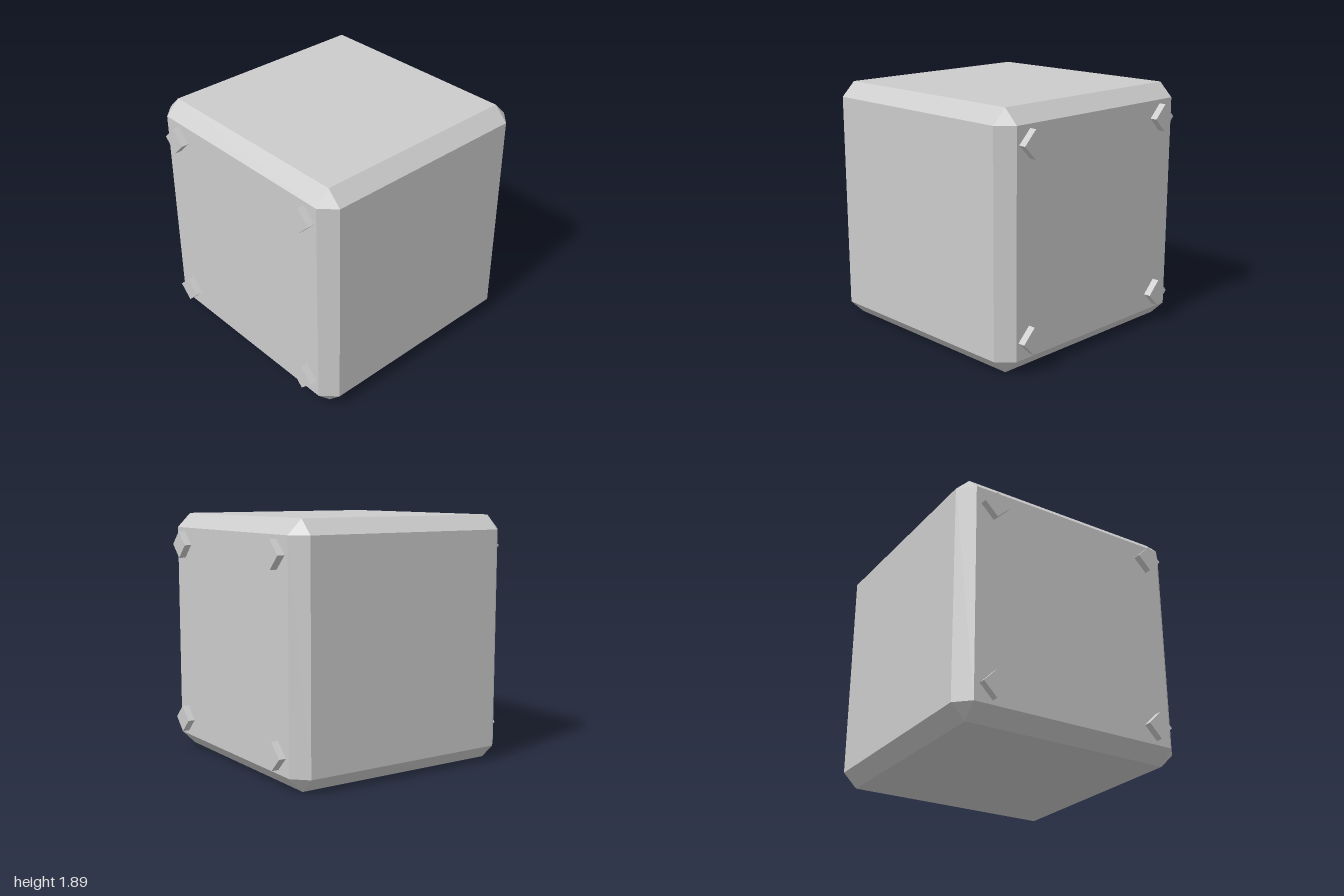
import * as THREE from 'three';
import { ConvexGeometry } from 'three/addons/geometries/ConvexGeometry.js';

const HALF = 0.945;     // half the size of the cube
const BEVEL = 0.11;     // width of the chamfer along each edge
const PEG_RADIUS = 0.104;
const PEG_END = 1;      // how far the pegs reach in z
const PEG_DEPTH = 0.1;  // includes the part sunk into the body

// Cube with flat chamfered edges and triangular corners
function chamferedCube(half, bevel) {
  const inner = half - bevel;
  const points = [];
  for (const x of [-1, 1]) for (const y of [-1, 1]) for (const z of [-1, 1]) {
    points.push(
      new THREE.Vector3(x * half, y * inner, z * inner),
      new THREE.Vector3(x * inner, y * half, z * inner),
      new THREE.Vector3(x * inner, y * inner, z * half),
    );
  }
  return new ConvexGeometry(points);
}

export function createModel() {
  const group = new THREE.Group();
  const material = new THREE.MeshStandardMaterial({ color: 0xcccccc, flatShading: true });

  const body = new THREE.Mesh(chamferedCube(HALF, BEVEL), material);
  body.name = 'body';
  body.position.y = HALF;
  group.add(body);

  // Diamond pegs near the corners of the front and back faces
  const pegGeometry = new THREE.CylinderGeometry(PEG_RADIUS, PEG_RADIUS, PEG_DEPTH, 4);
  pegGeometry.rotateX(Math.PI / 2);
  for (const [face, side] of [['front', 1], ['back', -1]]) {
    for (const x of [-0.69, 0.71]) {
      for (const y of [0.245, 1.646]) {
        const peg = new THREE.Mesh(pegGeometry, material);
        peg.name = `${face}${y > HALF ? 'Upper' : 'Lower'}${x > 0 ? 'Left' : 'Right'}Peg`;
        peg.position.set(x, y, side * (PEG_END - PEG_DEPTH / 2));
        group.add(peg);
      }
    }
  }
  return group;
}
